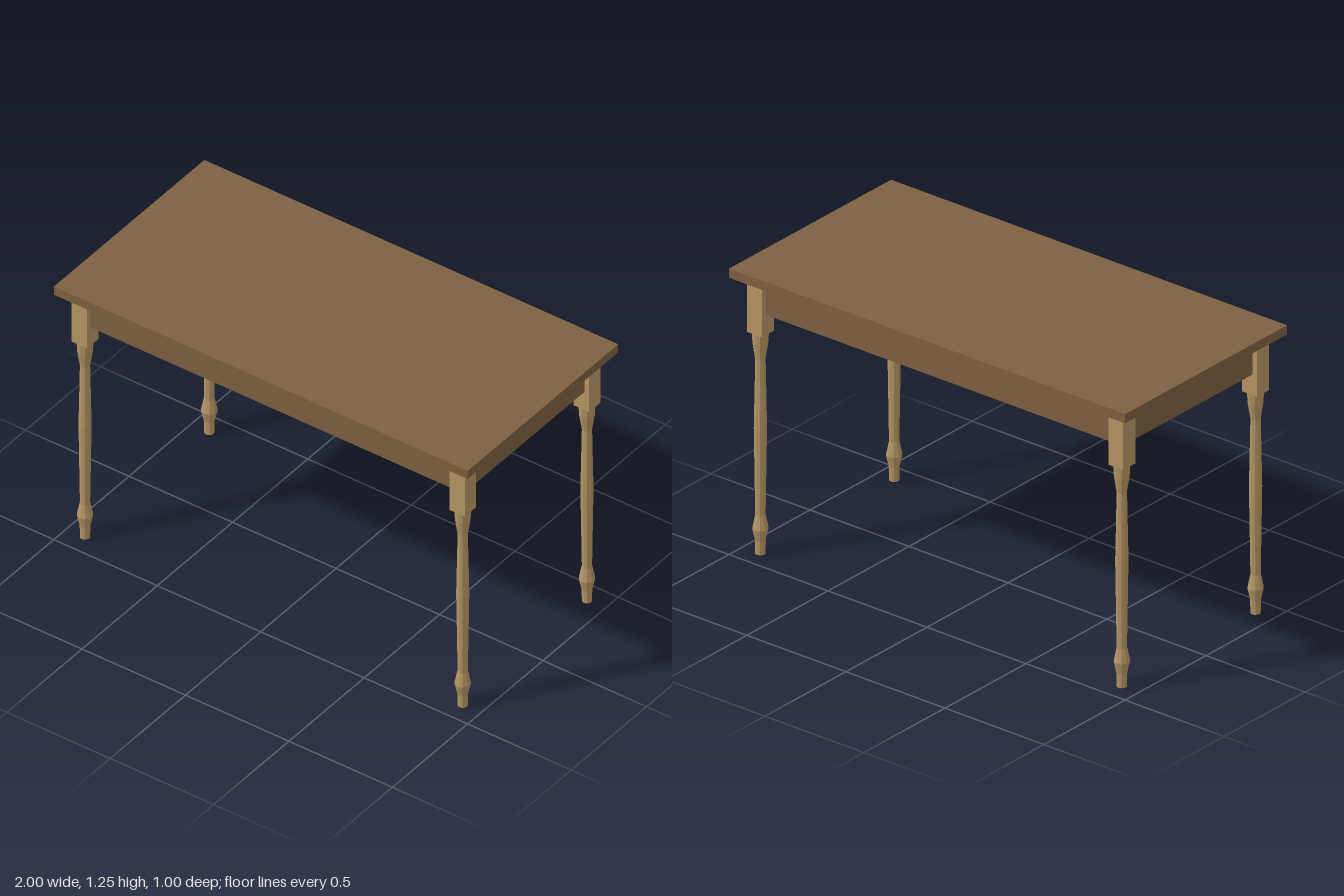
import * as THREE from 'three';

export function createModel() {
  const darkWood = new THREE.MeshStandardMaterial({ color: 0x7d6041 });
  darkWood.name = 'darkWood';
  const lightWood = new THREE.MeshStandardMaterial({ color: 0xb59564 });
  lightWood.name = 'lightWood';

  const table = new THREE.Group();
  table.name = 'table';

  const add = (parent, name, geometry, material, x, y, z) => {
    const mesh = new THREE.Mesh(geometry, material);
    mesh.name = name;
    mesh.position.set(x, y, z);
    parent.add(mesh);
    return mesh;
  };

  // Table top
  add(table, 'tableTop', new THREE.BoxGeometry(2, 0.04, 1), darkWood, 0, 1.23, 0);

  // Leg centres and square block size
  const legX = 0.9125, legZ = 0.4125, block = 0.075;

  // Aprons run between the leg blocks
  const apronH = 0.15, apronT = 0.03, apronY = 1.135;
  const longApron = new THREE.BoxGeometry(2 * legX - block, apronH, apronT);
  const shortApron = new THREE.BoxGeometry(apronT, apronH, 2 * legZ - block);
  add(table, 'frontApron', longApron, darkWood, 0, apronY, legZ);
  add(table, 'backApron', longApron, darkWood, 0, apronY, -legZ);
  add(table, 'leftApron', shortApron, darkWood, legX, apronY, 0);
  add(table, 'rightApron', shortApron, darkWood, -legX, apronY, 0);

  // Turned leg profile: radius, height
  const profile = [
    [0, 0], [0.021, 0], [0.022, 0.06], [0.033, 0.11], [0.021, 0.17],
    [0.027, 0.55], [0.021, 0.85], [0.032, 0.92], [0.035, 0.97],
  ].map(([r, y]) => new THREE.Vector2(r, y));
  const turned = new THREE.LatheGeometry(profile, 10).toNonIndexed();
  turned.computeVertexNormals(); // faceted sides
  const blockGeometry = new THREE.BoxGeometry(block, 0.24, block);

  for (const [zName, sz] of [['front', 1], ['back', -1]]) {
    for (const [xName, sx] of [['Left', 1], ['Right', -1]]) {
      const leg = new THREE.Group();
      leg.name = `${zName}${xName}Leg`;
      leg.position.set(sx * legX, 0, sz * legZ);
      add(leg, 'legBlock', blockGeometry, lightWood, 0, 1.09, 0);
      add(leg, 'turnedLeg', turned, lightWood, 0, 0, 0);
      table.add(leg);
    }
  }

  return table;
}
